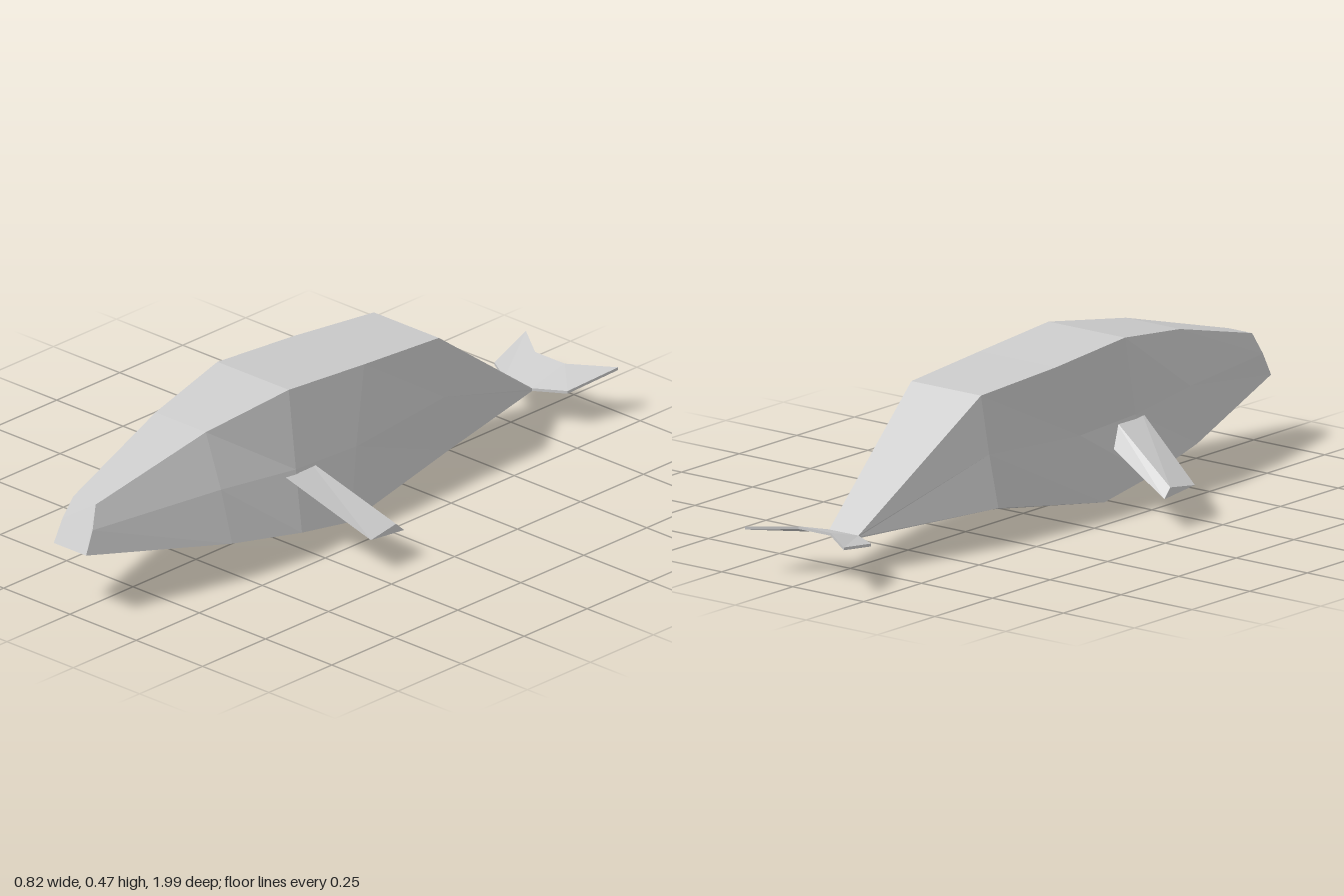
import * as THREE from 'three';

const material = new THREE.MeshStandardMaterial({
  color: 0xcccccc, flatShading: true, side: THREE.DoubleSide,
});

// Skins a list of rings of [x, y, z] points and caps both ends.
// Each ring runs clockwise when seen from beyond the first ring.
function loft(name, rings) {
  const out = [];
  const tri = (a, b, c) => out.push(...a, ...b, ...c);
  const n = rings[0].length;
  for (let j = 0; j < rings.length - 1; j++) {
    for (let i = 0; i < n; i++) {
      const k = (i + 1) % n;
      tri(rings[j][i], rings[j][k], rings[j + 1][k]);
      tri(rings[j][i], rings[j + 1][k], rings[j + 1][i]);
    }
  }
  const first = rings[0], last = rings[rings.length - 1];
  for (let i = 1; i < n - 1; i++) {
    tri(first[0], first[i + 1], first[i]);
    tri(last[0], last[i], last[i + 1]);
  }
  const geometry = new THREE.BufferGeometry();
  geometry.setAttribute('position', new THREE.Float32BufferAttribute(out, 3));
  geometry.computeVertexNormals();
  const mesh = new THREE.Mesh(geometry, material);
  mesh.name = name;
  return mesh;
}

const mirrorRings = (rings) =>
  rings.map((ring) => ring.map(([x, y, z]) => [-x, y, z])).reverse();

// One body section: back edge (left x, right x, y, z), flank, belly edge, keel (y, z)
function section([tl, tr, ty, tz], [mx, my, mz], [bx, by, bz], [ky, kz]) {
  return [
    [tl, ty, tz], [mx, my, mz], [bx, by, bz], [0, ky, kz],
    [-bx, by, bz], [-mx, my, mz], [-tr, ty, tz],
  ];
}

export function createModel() {
  const group = new THREE.Group();
  group.name = 'whale';

  // Body, from the blunt nose to the narrow tail stock
  group.add(loft('body', [
    section([0.04, 0.043, 0.322, 0.94], [0.057, 0.26, 0.97], [0.061, 0.195, 1], [0.195, 1]),
    section([0.085, 0.105, 0.425, 0.55], [0.142, 0.27, 0.55], [0.175, 0.115, 0.54], [0.075, 0.53]),
    section([0.122, 0.147, 0.468, 0.26], [0.168, 0.25, 0.28], [0.21, 0.08, 0.3], [0.035, 0.3]),
    section([0.122, 0.147, 0.446, -0.04], [0.168, 0.24, 0.04], [0.205, 0.045, 0.1], [0, 0.1]),
    section([0.118, 0.127, 0.425, -0.34], [0.148, 0.26, -0.33], [0.172, 0.11, -0.32], [0.07, -0.32]),
    section([0.05, 0.053, 0.108, -0.78], [0.052, 0.104, -0.78], [0.052, 0.1, -0.78], [0.098, -0.78]),
  ]));

  // Flippers: three-sided blades sweeping down and back
  const flipper = [
    [[0.411, 0.1, 0.238], [0.408, 0.114, 0.135], [0.411, 0.087, 0.106]],
    [[0.15, 0.249, 0.326], [0.15, 0.249, 0.21], [0.15, 0.192, 0.175]],
  ];
  group.add(loft('leftFlipper', flipper));
  group.add(loft('rightFlipper', mirrorRings(flipper)));

  // Tail fluke: a thin forked plate rising toward the back
  const plate = ([fx, fy, fz], [rx, ry, rz]) => [
    [fx, fy, fz], [rx, ry, rz], [rx, ry - 0.008, rz], [fx, fy - 0.008, fz],
  ];
  const half = [
    plate([0.138, 0.11, -0.83], [0.174, 0.139, -0.993]),
    plate([0.052, 0.108, -0.78], [0.056, 0.142, -0.905]),
  ];
  group.add(loft('tailFluke', [...half, ...mirrorRings(half)]));

  return group;
}
